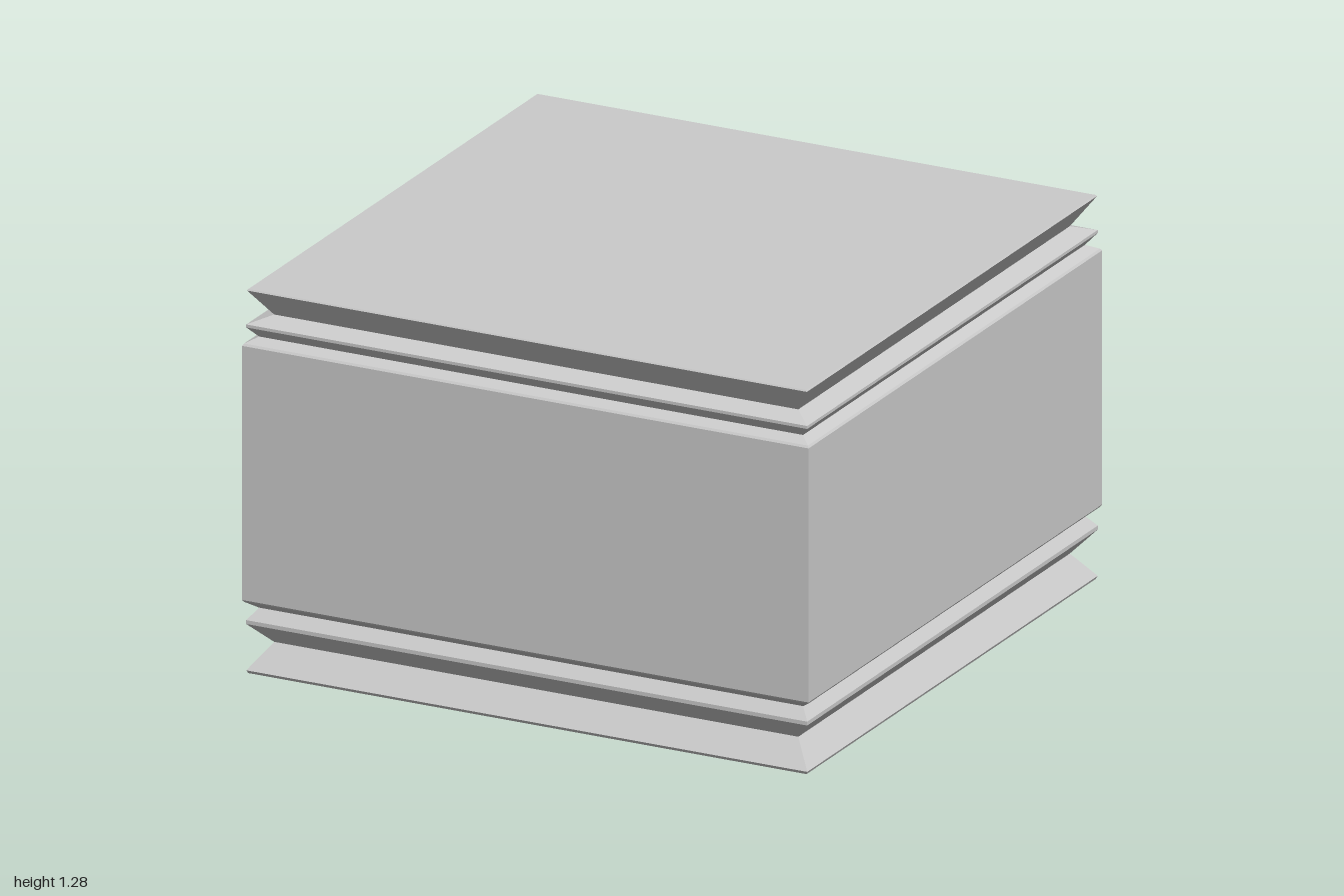
import * as THREE from 'three';

// Sweeps a [halfWidth, y] profile around a square plan with crisp faces
function squareSection(name, profile, material) {
  const points = profile.map(([w, y]) => new THREE.Vector2(w * Math.SQRT2, y));
  const geometry = new THREE.LatheGeometry(points, 4, Math.PI / 4).toNonIndexed();
  geometry.computeVertexNormals();
  const mesh = new THREE.Mesh(geometry, material);
  mesh.name = name;
  return mesh;
}

export function createModel() {
  const group = new THREE.Group();
  group.name = 'squarePlinth';
  const material = new THREE.MeshStandardMaterial({ color: 0xcccccc, flatShading: true });

  // Flared foot, deep groove, thin ridge and shallow groove
  group.add(squareSection('baseMoulding', [
    [0, 0], [0.985, 0], [0.99, 0.01], [0.925, 0.095], [0.99, 0.165],
    [0.99, 0.178], [0.96, 0.215],
  ], material));

  // Main block with bevelled edges
  group.add(squareSection('body', [
    [0.96, 0.215], [0.995, 0.24], [1, 0.247], [1, 1.097], [0.995, 1.104], [0.96, 1.122],
  ], material));

  // Thin ridge, deep groove and flared flat top
  group.add(squareSection('topMoulding', [
    [0.96, 1.122], [0.99, 1.157], [0.99, 1.167], [0.925, 1.19],
    [0.988, 1.28], [0.985, 1.285], [0, 1.285],
  ], material));

  return group;
}
